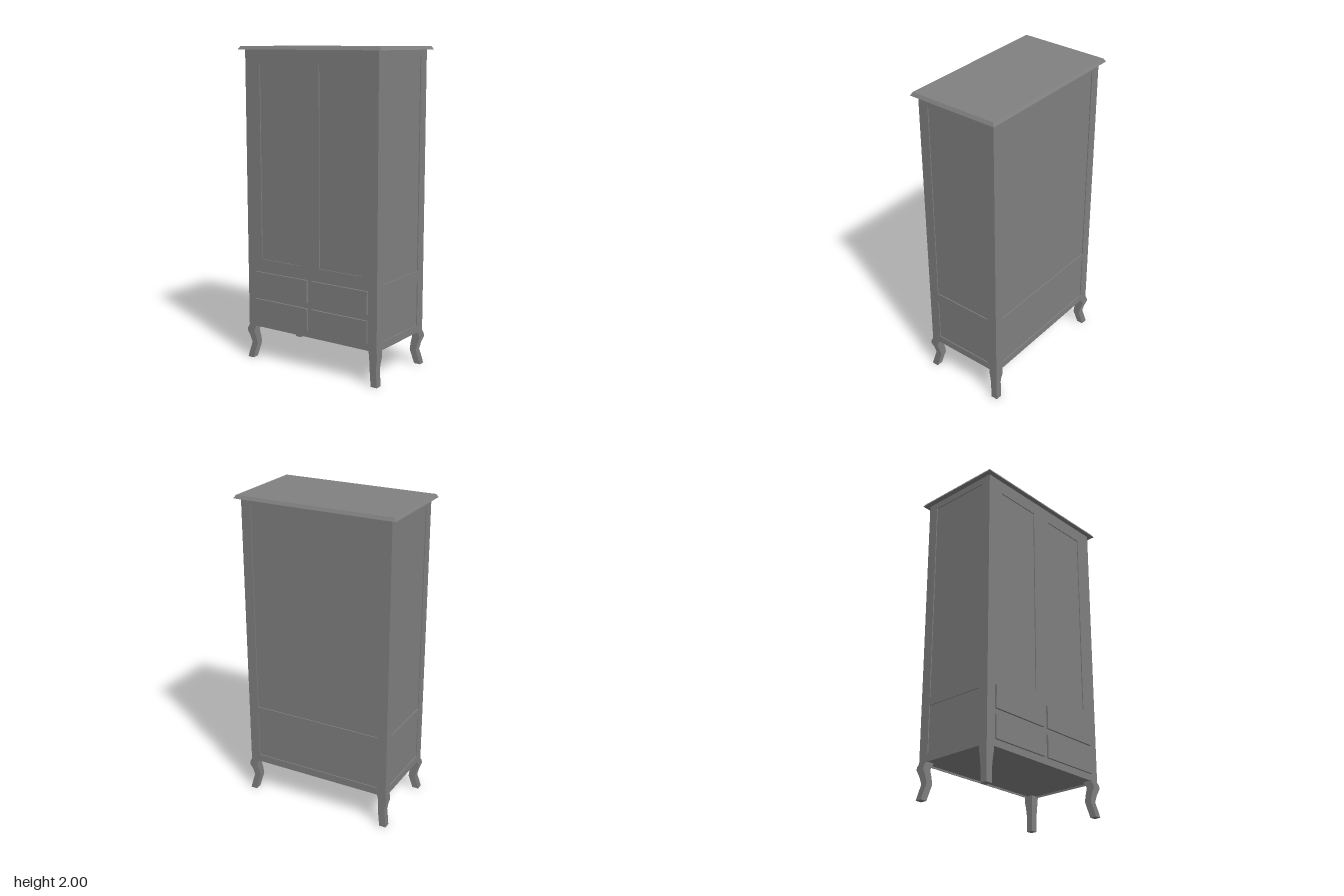
import * as THREE from 'three';

const W = 0.49, D = 0.268;      // half width and half depth of the carcass
const Y0 = 0.217, Y1 = 1.98;    // carcass bottom and top
const T = 0.006;                // depth of the recessed panels

const material = new THREE.MeshStandardMaterial({ color: 0x808080 });

function add(parent, name, geometry, x = 0, y = 0, z = 0) {
  const mesh = new THREE.Mesh(geometry, material);
  mesh.name = name;
  mesh.position.set(x, y, z);
  parent.add(mesh);
  return mesh;
}

const rectangle = (target, x0, y0, x1, y1) =>
  target.moveTo(x0, y0).lineTo(x1, y0).lineTo(x1, y1).lineTo(x0, y1).closePath();

// Flat frame facing +z with rectangular openings [x0, y0, x1, y1]
function frameGeometry(halfWidth, openings) {
  const shape = rectangle(new THREE.Shape(), -halfWidth, Y0, halfWidth, Y1);
  for (const o of openings) shape.holes.push(rectangle(new THREE.Path(), ...o));
  return new THREE.ExtrudeGeometry(shape, { depth: T, bevelEnabled: false });
}

// Leg rows from the floor up: [y, inner offset, outer offset] from the carcass corner
const LEG_ROWS = [
  [0, -0.035, 0.008],
  [0.05, -0.046, -0.002],
  [0.095, -0.056, -0.012],
  [0.14, -0.052, -0.003],
  [0.18, -0.046, 0.01],
  [0.2, -0.05, 0.007],
  [Y0 + 0.004, -0.06, -0.001],
];

// Box bent along the rows; each side keeps the box's even shading
function legGeometry(sx, sz) {
  const last = LEG_ROWS.length - 1;
  const geometry = new THREE.BoxGeometry(1, 1, 1, 1, last, 1);
  const p = geometry.attributes.position;
  for (let i = 0; i < p.count; i++) {
    const [y, inner, outer] = LEG_ROWS[Math.round((p.getY(i) + 0.5) * last)];
    const ox = p.getX(i) * sx > 0 ? outer : inner;
    const oz = p.getZ(i) * sz > 0 ? outer : inner;
    p.setXYZ(i, sx * (W + ox), y, sz * (D + oz));
  }
  return geometry;
}

// Slab with a slanted edge, wider at the bottom
function corniceGeometry() {
  const geometry = new THREE.BoxGeometry(1.046, 0.02, 0.597);
  const p = geometry.attributes.position;
  for (let i = 0; i < p.count; i++) {
    if (p.getY(i) > 0) {
      p.setX(i, Math.sign(p.getX(i)) * 0.511);
      p.setZ(i, Math.sign(p.getZ(i)) * 0.287);
    }
  }
  geometry.computeVertexNormals();
  return geometry;
}

export function createModel() {
  const model = new THREE.Group();
  model.name = 'wardrobe';

  // Inner carcass, visible as the floors of the recessed panels
  const coreBottom = Y0 + 0.01;
  add(model, 'carcass', new THREE.BoxGeometry(2 * (W - T), Y1 - coreBottom, 2 * (D - T)),
    0, (Y1 + coreBottom) / 2, 0);

  // Front frame with two tall door panels
  add(model, 'frontFrame', frameGeometry(W, [
    [-0.378, 0.665, -0.072, 1.895],
    [0.072, 0.665, 0.378, 1.895],
  ]), 0, 0, D - T);

  // Back and sides: a tall panel above a short one
  const twoPanels = (half) => [[-half, 0.265, half, 0.562], [-half, 0.617, half, 1.938]];
  const back = add(model, 'backFrame', frameGeometry(W, twoPanels(0.427)), 0, 0, -(D - T));
  back.rotation.y = Math.PI;
  for (const s of [1, -1]) {
    const side = add(model, s > 0 ? 'leftSideFrame' : 'rightSideFrame',
      frameGeometry(D - T, twoPanels(0.202)), s * (W - T), 0, 0);
    side.rotation.y = s * Math.PI / 2;
  }

  // Four raised drawer fronts
  const drawers = new THREE.Group();
  drawers.name = 'drawers';
  model.add(drawers);
  for (const x of [-0.221, 0.221])
    for (const y of [0.331, 0.511])
      add(drawers, 'drawerFront', new THREE.BoxGeometry(0.41, 0.143, 0.02), x, y, D + 0.002);

  // Curved legs at the corners
  for (const sx of [1, -1])
    for (const sz of [1, -1])
      add(model, sz > 0 ? 'frontLeg' : 'backLeg', legGeometry(sx, sz));

  add(model, 'cornice', corniceGeometry(), 0, 1.99, 0);
  return model;
}
